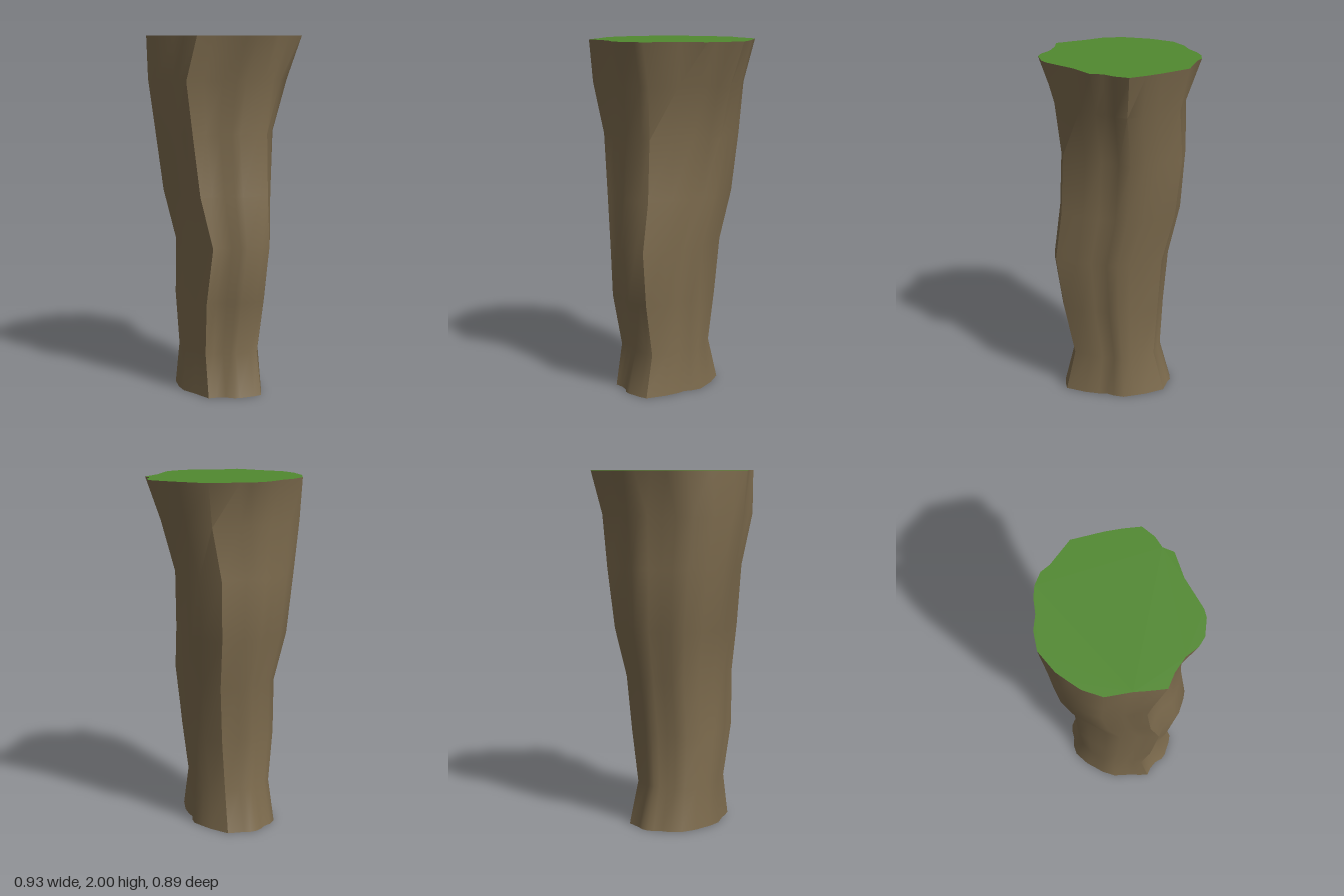
import * as THREE from 'three';
import { mergeVertices, toCreasedNormals } from 'three/addons/utils/BufferGeometryUtils.js';

// Outline of the top as [x, z], running left, back, right, front
const OUTLINE = [
  [-0.465, -0.04], [-0.445, -0.11], [-0.42, -0.19], [-0.345, -0.31], [-0.25, -0.365],
  [-0.165, -0.385], [-0.085, -0.425], [-0.02, -0.443], [0.06, -0.44], [0.11, -0.41],
  [0.275, -0.36], [0.375, -0.21], [0.42, -0.13], [0.462, -0.04], [0.43, 0.04],
  [0.385, 0.095], [0.38, 0.16], [0.26, 0.25], [0.13, 0.395], [0.09, 0.42],
  [-0.01, 0.443], [-0.07, 0.43], [-0.14, 0.385], [-0.235, 0.36], [-0.325, 0.355],
  [-0.365, 0.27], [-0.395, 0.2], [-0.465, 0.075],
];

// Extents of each cross-section: [y, xMin, xMax, zMin, zMax]
const LEVELS = [
  [0, -0.3, 0.18, -0.305, 0.325],
  [0.24, -0.285, 0.165, -0.24, 0.266],
  [0.54, -0.305, 0.195, -0.255, 0.33],
  [0.85, -0.295, 0.217, -0.28, 0.375],
  [1.13, -0.36, 0.262, -0.345, 0.34],
  [1.47, -0.41, 0.29, -0.37, 0.327],
  [1.76, -0.453, 0.375, -0.365, 0.365],
  [2, -0.465, 0.462, -0.443, 0.443],
];

// Ridges that swell out of the outline: direction [x, z], share of each
// outline point, and the amount at each level
const RIDGES = [
  { dir: [0.92, 0.39], share: { 17: 0.7, 18: 1, 19: 0.6 },
    amount: [0.065, 0.065, 0.065, 0.065, 0.065, 0.065, 0.045, 0] },
  { dir: [0.71, -0.71], share: { 9: 0.4, 10: 1, 11: 0.9, 12: 0.4 },
    amount: [0.015, 0.006, 0.02, 0.022, 0.03, 0.045, 0.03, 0] },
  { dir: [-0.71, -0.71], share: { 2: 0.7, 3: 1, 4: 0.8, 5: 0.3 },
    amount: [0.005, 0.005, 0.015, 0.02, 0.012, 0.002, 0.015, 0] },
  { dir: [-1, 0], share: { 23: 0.5, 24: 1, 25: 0.6 },
    amount: [0, 0.01, 0.012, 0, 0.01, 0.01, 0.035, 0] },
];

// Loft the outline, stretched to the extents of each level; the bottom stays open
function columnGeometry() {
  const [, x0, x1, z0, z1] = LEVELS[LEVELS.length - 1];
  const n = OUTLINE.length;
  const positions = [];
  const indices = [];
  LEVELS.forEach(([y, xa, xb, za, zb], row) => {
    OUTLINE.forEach(([x, z], i) => {
      let px = THREE.MathUtils.mapLinear(x, x0, x1, xa, xb);
      let pz = THREE.MathUtils.mapLinear(z, z0, z1, za, zb);
      for (const { dir, share, amount } of RIDGES) {
        const push = (share[i] ?? 0) * amount[row];
        px += dir[0] * push;
        pz += dir[1] * push;
      }
      positions.push(px, y, pz);
      if (row === 0) return;
      const a = (row - 1) * n + i;
      const b = (row - 1) * n + ((i + 1) % n);
      indices.push(a, a + n, b, b, a + n, b + n);
    });
  });
  const geometry = new THREE.BufferGeometry();
  geometry.setAttribute('position', new THREE.Float32BufferAttribute(positions, 3));
  geometry.setIndex(indices);
  return toCreasedNormals(mergeVertices(geometry), 0.72);
}

// Flat cap following the outline
function capGeometry() {
  const shape = new THREE.Shape(OUTLINE.map(([x, z]) => new THREE.Vector2(x, -z)));
  return new THREE.ShapeGeometry(shape).rotateX(-Math.PI / 2).translate(0, 2, 0);
}

export function createModel() {
  const rock = new THREE.MeshStandardMaterial({ color: 0x7f6d4f });
  rock.name = 'brownRock';
  rock.side = THREE.DoubleSide;
  const grass = new THREE.MeshStandardMaterial({ color: 0x51892f });
  grass.name = 'greenGrass';
  grass.side = THREE.DoubleSide;

  const column = new THREE.Mesh(columnGeometry(), rock);
  column.name = 'rockColumn';
  const top = new THREE.Mesh(capGeometry(), grass);
  top.name = 'grassTop';

  const model = new THREE.Group();
  model.name = 'rockPillar';
  model.add(column, top);
  return model;
}
